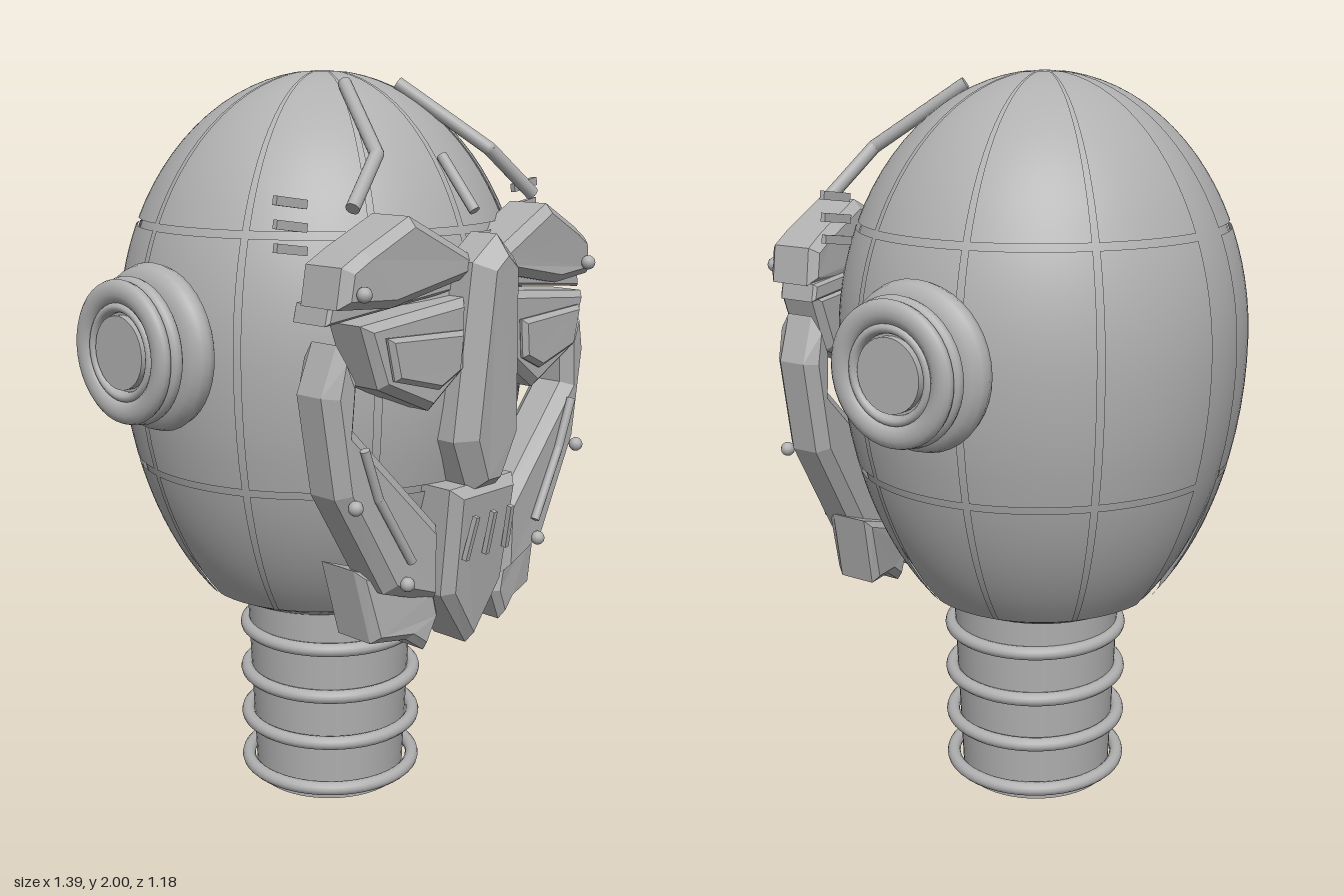
import * as THREE from 'three';

export function createModel() {
  const model = new THREE.Group();
  const grey = new THREE.MeshStandardMaterial({ color: 0xb0b0b0, side: THREE.DoubleSide });
  grey.name = 'plain grey';
  const CZ = -0.05; // head axis

  function add(name, geo, parent = model) {
    const mesh = new THREE.Mesh(geo, grey);
    mesh.name = name;
    parent.add(mesh);
    return mesh;
  }

  // Bevelled plate from a front outline, bent back towards the sides
  function plate(name, pts, side, z0, z1, bevel, bend = 0, lean = () => 0) {
    const shape = new THREE.Shape(pts.map(([x, y]) => new THREE.Vector2(x * side, y)));
    const thick = Math.min(bevel, (z1 - z0) * 0.4);
    const geo = new THREE.ExtrudeGeometry(shape, {
      depth: z1 - z0 - 2 * thick, bevelEnabled: bevel > 0, bevelSegments: 1,
      bevelThickness: thick, bevelSize: bevel, bevelOffset: -bevel,
    });
    const p = geo.attributes.position;
    for (let i = 0; i < p.count; i++) {
      const x = p.getX(i), y = p.getY(i);
      p.setZ(i, p.getZ(i) + z0 + thick - bend * x * x + lean(x, y));
    }
    geo.computeVertexNormals();
    return add(name, geo);
  }

  // Round bar between two points with rounded joints
  function rod(name, points, r) {
    const group = new THREE.Group();
    group.name = name;
    model.add(group);
    const v = points.map((p) => new THREE.Vector3(...p));
    for (let i = 0; i < v.length - 1; i++) {
      const dir = v[i + 1].clone().sub(v[i]);
      const bar = add(name + 'Bar', new THREE.CylinderGeometry(r, r, dir.length(), 12), group);
      bar.position.copy(v[i]).addScaledVector(dir, 0.5);
      bar.quaternion.setFromUnitVectors(new THREE.Vector3(0, 1, 0), dir.normalize());
      if (i > 0) add(name + 'Joint', new THREE.SphereGeometry(r, 12, 8), group).position.copy(v[i]);
    }
  }

  // Egg-shaped head: half width at each height
  const eggRadius = (y) => {
    const t = (y - 1.3) / (y > 1.3 ? 0.7 : 0.88);
    return 0.547 * Math.sqrt(Math.max(0, 1 - t * t));
  };
  const eggProfile = (y0, y1, n, inset) => {
    const pts = [];
    for (let i = 0; i <= n; i++) {
      const y = y0 + (y1 - y0) * Math.sin((i / n) * Math.PI / 2);
      pts.push(new THREE.Vector2(Math.max(0, eggRadius(y) - inset), y));
    }
    return pts;
  };
  const head = new THREE.Group();
  head.name = 'head';
  head.position.z = CZ;
  head.scale.x = 1.03;
  model.add(head);
  add('skull', new THREE.LatheGeometry(
    [new THREE.Vector2(0, 0.56), new THREE.Vector2(0.25, 0.56), ...eggProfile(0.59, 2, 40, 0.012)], 64), head);

  // Shell panels with narrow seams between them
  const seams = [0, 30, 66, 102, 138, 174];
  const bands = [[0.6, 0.962], [0.98, 1.602], [1.62, 1.996]];
  const rad = THREE.MathUtils.degToRad;
  for (const side of [1, -1]) {
    for (let i = 0; i < seams.length - 1; i++) {
      const len = rad(seams[i + 1] - seams[i] - 2);
      const mid = rad((seams[i] + seams[i + 1]) / 2) * side;
      for (const [y0, y1] of bands) {
        add('shellPanel', new THREE.LatheGeometry(eggProfile(y0, y1, 14, 0), 10, mid - len / 2, len), head);
      }
    }
  }

  // Neck with rings
  const neck = add('neck', new THREE.CylinderGeometry(0.238, 0.213, 0.6, 48));
  neck.position.set(0, 0.3, -0.025);
  for (const y of [0.046, 0.184, 0.322, 0.46]) {
    const ring = add('neckRing', new THREE.TorusGeometry(0.24, 0.019, 12, 48));
    ring.rotation.x = Math.PI / 2;
    ring.position.set(0, y, -0.022);
  }

  // Nose ridge: pushed forward along the middle
  plate('nose', [[0, 1.61], [0.08, 1.545], [0.115, 1.1], [0.05, 0.955],
    [-0.05, 0.955], [-0.115, 1.1], [-0.08, 1.545]], 1, 0.43, 0.59, 0.04, 1.2,
  (x, y) => -Math.max(0, 1.2 - y) * 0.12);

  // Mouth guard with three slits
  const mouthLean = (x, y) => (y - 0.9) * 0.12;
  plate('mouthGuard', [[0.125, 0.98], [0.115, 0.69], [0, 0.53], [-0.115, 0.69], [-0.125, 0.98]],
    1, 0.39, 0.55, 0.025, 0.8, mouthLean);
  for (const x of [-0.075, 0, 0.075]) {
    const slit = add('mouthSlit', new THREE.BoxGeometry(0.014, 0.12, 0.014));
    slit.position.set(x, 0.85, 0.553);
    slit.rotation.set(0.2, 0, x * 1.2);
  }

  // Short crest rod above the nose
  rod('crestRod', [[0, 1.79, 0.37], [0, 1.66, 0.48]], 0.014);

  for (const s of [1, -1]) {
    plate('brow', [[0.485, 1.465], [0.47, 1.56], [0.41, 1.595], [0.265, 1.665], [0.05, 1.56],
      [0.06, 1.505], [0.32, 1.455]], s, 0.37, 0.53, 0.022, 0.12);
    plate('browRim', [[0.49, 1.425], [0.48, 1.47], [0.06, 1.515], [0.06, 1.47]], s, 0.36, 0.48, 0.008, 0.1);
    plate('eyeSocket', [[0.43, 1.425], [0.085, 1.46], [0.085, 1.28], [0.205, 1.195], [0.375, 1.27]],
      s, 0.4, 0.54, 0.02, 0.1);
    plate('eye', [[0.375, 1.395], [0.115, 1.385], [0.125, 1.285], [0.2, 1.25], [0.35, 1.29]],
      s, 0.53, 0.56, 0.012, 0.08);
    plate('cheek', [[0.46, 1.38], [0.4, 1.285], [0.41, 1.17], [0.125, 0.88], [0.13, 0.68],
      [0.31, 0.74], [0.465, 1.01], [0.505, 1.26]], s, 0.37, 0.51, 0.03, 0.12);
    plate('jaw', [[0.36, 0.8], [0.13, 0.72], [0.11, 0.64], [0.155, 0.55], [0.21, 0.59], [0.315, 0.6]],
      s, 0.35, 0.5, 0.02, 0.5);
    rod('cheekBar', [[0.41 * s, 1.13, 0.5], [0.36 * s, 1.0, 0.5], [0.25 * s, 0.82, 0.51]], 0.012);

    // Bolts
    for (const [x, y, z] of [[0.435, 1.5, 0.52], [0.44, 0.995, 0.5], [0.265, 0.765, 0.51]]) {
      add('bolt', new THREE.SphereGeometry(0.019, 12, 8)).position.set(x * s, y, z);
    }

    // Bent rod on the crown
    rod('crownRod', [[0.1 * s, 1.965, 0.13], [0.215 * s, 1.8, 0.35], [0.345 * s, 1.68, 0.395]], 0.018);

    // Temple fins
    for (const y of [1.585, 1.64, 1.695]) {
      const fin = add('templeFin', new THREE.BoxGeometry(0.1, 0.022, 0.014));
      fin.position.set(0.445 * s, y, 0.29);
      fin.rotation.z = 0.15 * s;
    }

    // Ear: stacked rings around a recessed disc
    const ear = new THREE.Group();
    ear.name = 'ear';
    ear.position.set(0, 1.325, -0.065);
    ear.rotation.y = s * Math.PI / 2;
    model.add(ear);
    for (const [x, r, tube, half] of [[0.577, 0.147, 0.065, 0.045], [0.647, 0.155, 0.03, 0.022],
      [0.677, 0.15, 0.03, 0.02], [0.672, 0.112, 0.014, 0.02]]) {
      const ring = add('earRing', new THREE.TorusGeometry(r, tube, 14, 40), ear);
      ring.position.z = x;
      ring.scale.z = half / tube;
    }
    const disc = add('earDisc', new THREE.CylinderGeometry(0.14, 0.14, 0.17, 40), ear);
    disc.rotation.x = Math.PI / 2;
    disc.position.z = 0.585;
    const hub = add('earHub', new THREE.CylinderGeometry(0.092, 0.092, 0.06, 32), ear);
    hub.rotation.x = Math.PI / 2;
    hub.position.z = 0.66;
  }
  return model;
}
